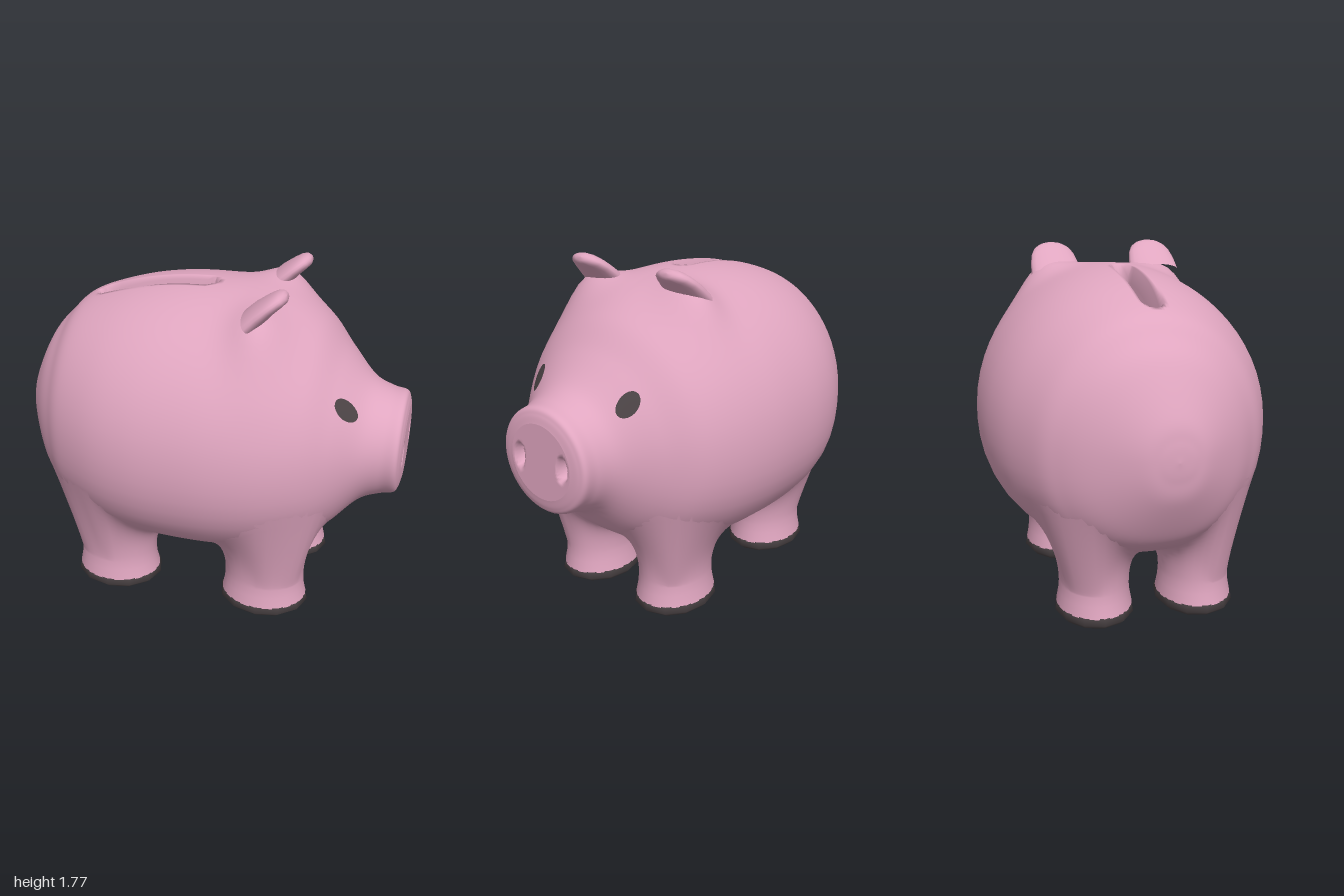
import * as THREE from 'three';

const MID_Y = 0.94; // height of the widest line of the body
const MID_Z = 0.03; // plane the face, legs and slot mirror about
const { clamp, smoothstep } = THREE.MathUtils;

// Body stations, tail to snout: x, top y, bottom y, half width, centre z
const STATIONS = [
  [-1.0, 0.94, 0.94, 0, 0.03],
  [-0.992, 1.03, 0.85, 0.085, 0.03],
  [-0.965, 1.14, 0.73, 0.175, 0.025],
  [-0.86, 1.35, 0.53, 0.355, 0.01],
  [-0.77, 1.455, 0.44, 0.465, 0],
  [-0.67, 1.545, 0.39, 0.555, 0],
  [-0.47, 1.62, 0.345, 0.655, 0],
  [-0.27, 1.665, 0.32, 0.705, 0],
  [-0.06, 1.685, 0.315, 0.718, 0],
  [0.15, 1.68, 0.32, 0.705, 0],
  [0.36, 1.64, 0.34, 0.655, 0],
  [0.54, 1.535, 0.395, 0.57, 0],
  [0.67, 1.39, 0.485, 0.455, 0.015],
  [0.8, 1.26, 0.615, 0.322, 0.03],
  [0.9, 1.215, 0.66, 0.275, 0.03],
  [0.97, 1.2, 0.68, 0.266, 0.03],
  [0.99, 1.17, 0.71, 0.235, 0.03],
  [1.0, 1.13, 0.755, 0.19, 0.03],
];
const spline = (pick) => new THREE.CatmullRomCurve3(
  STATIONS.map((s) => new THREE.Vector3(...pick(s))), false, 'catmullrom', 0.5);
const heightCurve = spline((s) => [s[0], s[1], s[2]]);
const widthCurve = spline((s) => [s[3], s[4], 0]);

// Cross-section: an ellipse above, a fuller oval (power p) below
function section(t) {
  const h = heightCurve.getPoint(t), w = widthCurve.getPoint(t);
  return {
    x: h.x, up: h.y - MID_Y, down: MID_Y - h.z, half: w.x, z: w.y,
    p: 2.3 - 0.3 * smoothstep(h.x, 0.6, 0.85),
  };
}

// Last section along the body, between lo and hi, that passes the test
function findSection(lo, hi, test) {
  for (let k = 0; k < 24; k++) {
    const mid = (lo + hi) / 2;
    if (test(section(mid))) lo = mid;
    else hi = mid;
  }
  return section(lo);
}

// Skin over closed rings that turn counter-clockwise about the direction of travel
function loft(rings) {
  const n = rings[0].length, index = [];
  for (let i = 0; i < rings.length - 1; i++) {
    for (let j = 0; j < n; j++) {
      const a = i * n + j, b = i * n + (j + 1) % n;
      index.push(a, b, a + n, b, b + n, a + n);
    }
  }
  const geo = new THREE.BufferGeometry().setFromPoints(rings.flat());
  geo.setIndex(index);
  geo.computeVertexNormals();
  return geo;
}

function ring(count, point) {
  return Array.from({ length: count }, (_, j) => point((j / count) * Math.PI * 2));
}

// One body ring; points crowd toward the top so the slot stays crisp
function bodyRing(s, scale = 1) {
  return ring(80, (u) => {
    const phi = u - 0.82 * Math.sin(u);
    const c = Math.cos(phi), d = Math.sin(phi);
    const p = c > 0 ? 2 : s.p;
    const r = scale * (Math.abs(c) ** p + Math.abs(d) ** p) ** (-1 / p);
    return new THREE.Vector3(s.x, MID_Y + c * (c > 0 ? s.up : s.down) * r, s.z + d * s.half * r);
  });
}

function bodyGeometry() {
  const rings = [];
  const steps = (STATIONS.length - 1) * 8;
  for (let i = 0; i <= steps; i++) rings.push(bodyRing(section(i / steps)));

  for (const p of rings.flat()) {
    if (p.y < 1.2) continue;
    // Swelling under each ear
    const side = Math.sign(p.z - MID_Z);
    const e = Math.hypot((p.x - 0.3) / 0.13, (Math.abs(p.z - MID_Z) - 0.31) / 0.15);
    const swell = 0.08 * Math.exp(-e * e);
    p.y += swell * 0.85;
    p.z += swell * 0.5 * side;
    // Coin slot pressed into the back
    const dx = p.x - clamp(p.x, -0.56, -0.05);
    const d = Math.hypot(dx, p.z - MID_Z);
    p.y -= 0.2 * (1 - smoothstep(d, 0.02, 0.058));
  }

  // Flat snout face with two nostril pits
  const end = section(1);
  for (let i = 0; i <= 26; i++) {
    const face = bodyRing(end, 1 - i / 26);
    for (const p of face) {
      const d = Math.hypot((Math.abs(p.z - MID_Z) - 0.14) / 0.036, (p.y - 0.945) / 0.064);
      p.x -= 0.06 * (1 - smoothstep(d, 0.5, 1.05));
    }
    rings.push(face);
  }
  return loft(rings);
}

// Point on the underside of the body, with the outward direction there
function underside(x, zWanted) {
  const at = (px) => findSection(0, 1, (q) => q.x < px);
  const s = at(x), p = s.p;
  const v = clamp((zWanted - s.z) / s.half, -0.95, 0.95);
  const w = (1 - Math.abs(v) ** p) ** (1 / p);
  const y = MID_Y - s.down * w, z = s.z + s.half * v;
  const level = (q) => ((MID_Y - y) / q.down) ** p + Math.abs((z - q.z) / q.half) ** p;
  const normal = new THREE.Vector3(
    (level(at(x + 0.01)) - level(at(x - 0.01))) / 0.02,
    -p * w ** (p - 1) / s.down,
    p * Math.sign(v) * Math.abs(v) ** (p - 1) / s.half);
  return { point: new THREE.Vector3(x, y + 0.003, z), normal };
}

// Oval post whose wall curves out to meet the belly without a crease
function legGeometry(cx, cz, end, side) {
  const curves = ring(32, (a) => {
    const sx = Math.sin(a), sz = Math.cos(a);
    const wall = new THREE.Vector3(cx + sx * 0.21, 0.18, cz + sz * 0.173);
    const { point, normal } = underside(
      cx + end * 0.02 + sx * 0.33, cz + side * 0.03 + sz * 0.29);
    const bend = wall.clone();
    bend.y = point.y - (normal.x * (wall.x - point.x) + normal.z * (wall.z - point.z)) / normal.y;
    bend.y = clamp(bend.y, 0.22, Math.max(0.25, point.y - 0.02));
    return new THREE.QuadraticBezierCurve3(wall, bend, point);
  });
  const rings = [[0.07, 0.226, 0.188], [0.13, 0.213, 0.177]].map(([y, rx, rz]) =>
    ring(32, (a) => new THREE.Vector3(cx + Math.sin(a) * rx, y, cz + Math.cos(a) * rz)));
  for (let i = 0; i <= 12; i++) rings.push(curves.map((c) => c.getPoint(i / 12)));
  return loft(rings);
}

// Flared hoof; the repeated level keeps a hard sole edge: y, x radius, z radius
function hoofGeometry() {
  const levels = [
    [0, 0, 0], [0.012, 0.205, 0.172], [0.012, 0.205, 0.172],
    [0.04, 0.238, 0.198], [0.075, 0.23, 0.192],
  ];
  return loft(levels.map(([y, rx, rz]) =>
    ring(12, (a) => new THREE.Vector3(Math.sin(a) * rx, y, Math.cos(a) * rz))));
}

// Flattened rounded paddle leaning forward: x, y, thickness, half width
function earGeometry() {
  const levels = [
    [0.25, 1.615, 0.05, 0.135], [0.3, 1.665, 0.047, 0.128], [0.345, 1.705, 0.04, 0.116],
    [0.38, 1.732, 0.036, 0.096], [0.402, 1.746, 0.03, 0.07], [0.414, 1.754, 0.019, 0.04],
    [0.418, 1.756, 0, 0],
  ];
  return loft(levels.map(([x, y, th, w]) => ring(20, (a) => new THREE.Vector3(
    x - 0.64 * th * Math.cos(a), y + 0.77 * th * Math.cos(a), w * Math.sin(a)))));
}

// Oval plate laid on the face by finding the skin at each height and width
function eyeGeometry(side) {
  const geo = new THREE.RingGeometry(0, 1, 20, 4);
  const pos = geo.attributes.position;
  for (let i = 0; i < pos.count; i++) {
    const y = 1.217 + pos.getY(i) * 0.056;
    const z = 0.021 + side * 0.29 - pos.getX(i) * 0.045;
    const s = findSection(0.55, 0.9, (q) =>
      Math.hypot((y - MID_Y) / q.up, (z - q.z) / q.half) < 1);
    pos.setXYZ(i, s.x + 0.007, y, z);
  }
  geo.computeVertexNormals();
  return geo;
}

export function createModel() {
  const pink = new THREE.MeshStandardMaterial({ color: 0xe0a6c0 });
  pink.name = 'pink';
  const charcoal = new THREE.MeshStandardMaterial({ color: 0x4b4345 });
  charcoal.name = 'charcoal';

  const model = new THREE.Group();
  model.name = 'piggyBank';
  const add = (name, geo, mat, x = 0, z = 0) => {
    const mesh = new THREE.Mesh(geo, mat);
    mesh.name = name;
    mesh.position.set(x, 0, z);
    model.add(mesh);
  };

  add('body', bodyGeometry(), pink);
  const hoof = hoofGeometry(), ear = earGeometry();
  for (const side of [1, -1]) {
    const label = side > 0 ? 'Left' : 'Right', z = MID_Z + side * 0.262;
    for (const [name, x, end] of [['front', 0.35, 1], ['rear', -0.482, -1]]) {
      add(`${name}${label}Leg`, legGeometry(x, z, end, side), pink);
      add(`${name}${label}Hoof`, hoof, charcoal, x, z);
    }
    add(`ear${label}`, ear, pink, 0, MID_Z + side * 0.272);
    add(`eye${label}`, eyeGeometry(side), charcoal);
  }
  return model;
}
